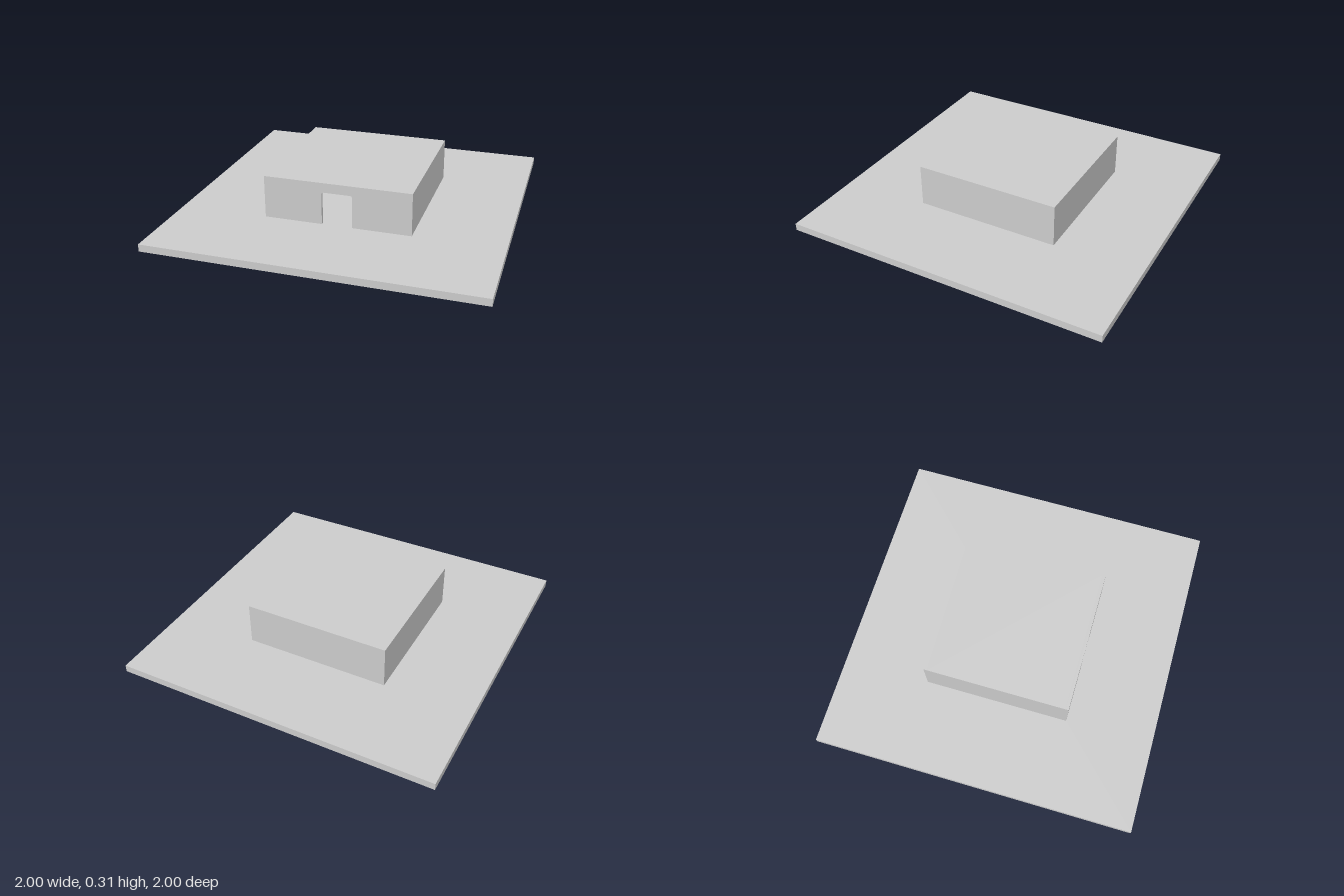
import * as THREE from 'three';

const material = new THREE.MeshStandardMaterial({ color: 0xcccccc, flatShading: true });

const BASE = 0.045; // top of the ground slab
const TOP = 0.31; // top of the roof
const HALF = 0.453; // half width of the building
const WALL = 0.02; // wall and roof thickness
const DOOR = { half: 0.094, top: 0.25, radius: 0.015 };

function addMesh(group, name, geometry, z = 0) {
  const mesh = new THREE.Mesh(geometry, material);
  mesh.name = name;
  mesh.position.z = z;
  group.add(mesh);
  return mesh;
}

// Extrudes an outline drawn in the front plane along +z
function extrude(shape, depth) {
  return new THREE.ExtrudeGeometry(shape, { depth, bevelEnabled: false, curveSegments: 6 });
}

// A rectangle standing on the slab, with an opening cut up from its lower edge
function archShape(half, top, openHalf, openTop, r) {
  const s = new THREE.Shape();
  s.moveTo(openHalf, BASE);
  s.lineTo(half, BASE);
  s.lineTo(half, top);
  s.lineTo(-half, top);
  s.lineTo(-half, BASE);
  s.lineTo(-openHalf, BASE);
  s.lineTo(-openHalf, openTop - r);
  if (r > 0) s.quadraticCurveTo(-openHalf, openTop, -openHalf + r, openTop);
  s.lineTo(openHalf - r, openTop);
  if (r > 0) s.quadraticCurveTo(openHalf, openTop, openHalf, openTop - r);
  s.closePath();
  return s;
}

export function createModel() {
  const model = new THREE.Group();
  model.name = 'building';

  // Square ground slab
  const slab = addMesh(model, 'groundSlab', new THREE.BoxGeometry(2, BASE, 2));
  slab.position.y = BASE / 2;

  // Side walls and flat roof as one hollow profile
  const shell = archShape(HALF, TOP, HALF - WALL, TOP - WALL, 0);
  addMesh(model, 'sideWallsAndRoof', extrude(shell, 2 * (HALF - WALL)), -HALF + WALL);

  // Front wall with a doorway whose top corners are slightly rounded
  const front = archShape(HALF, TOP, DOOR.half, DOOR.top, DOOR.radius);
  addMesh(model, 'frontWall', extrude(front, WALL), HALF - WALL);

  // Plain back wall
  const back = addMesh(model, 'backWall', new THREE.BoxGeometry(2 * HALF, TOP - BASE, WALL), -HALF + WALL / 2);
  back.position.y = (TOP + BASE) / 2;

  return model;
}
